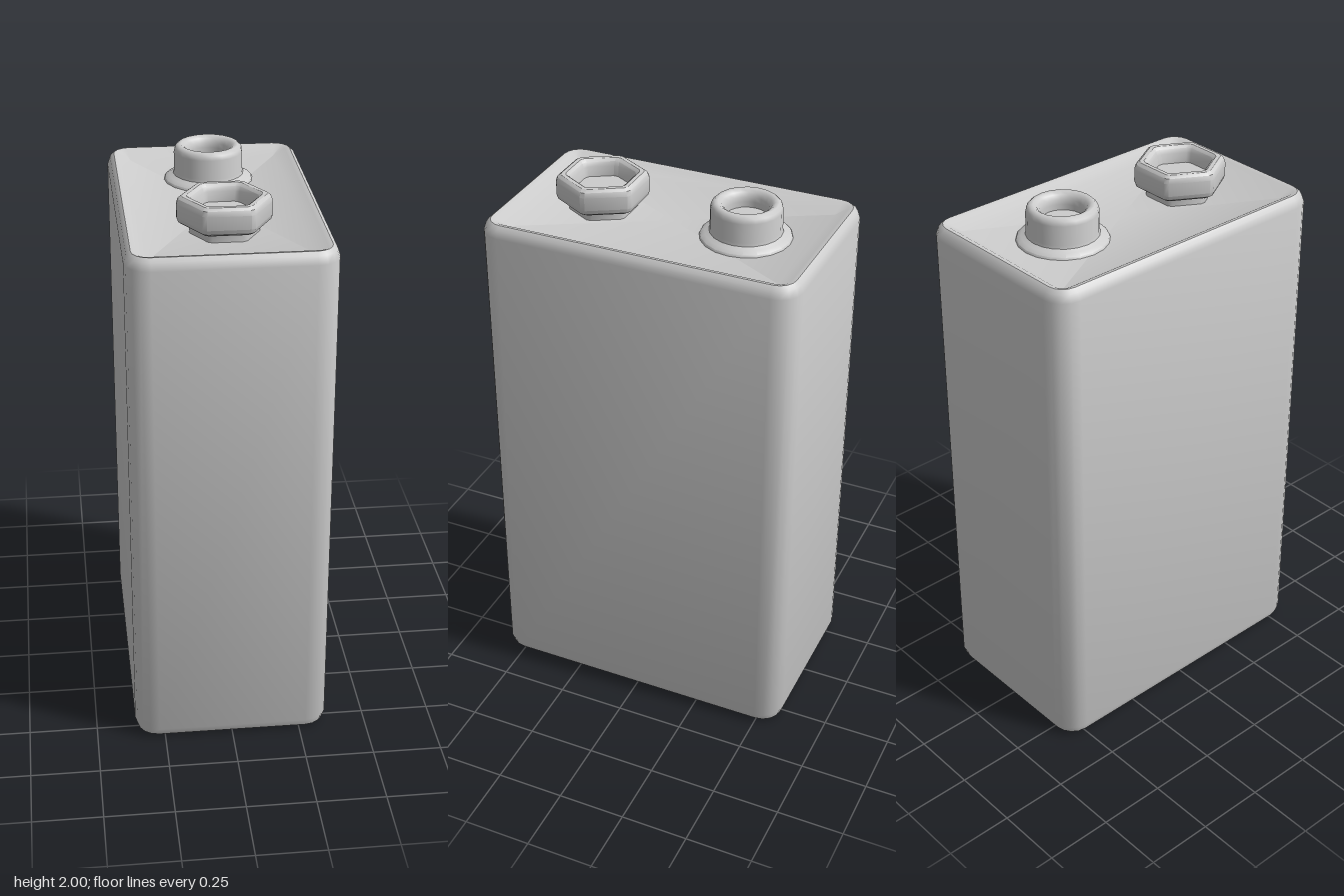
import * as THREE from 'three';
import { toCreasedNormals } from 'three/addons/utils/BufferGeometryUtils.js';

const material = new THREE.MeshStandardMaterial({ color: 0xcccccc });

// Skin a stack of equal-length [x, z] outlines at heights y, capping both ends
function loft(rings, crease) {
  const n = rings[0].pts.length;
  const pos = [];
  const index = [];
  for (const { pts, y } of rings) for (const [x, z] of pts) pos.push(x, y, z);
  for (let r = 0; r < rings.length - 1; r++) {
    for (let i = 0; i < n; i++) {
      const j = (i + 1) % n;
      const a = r * n + i, b = r * n + j, c = a + n, d = b + n;
      index.push(a, c, b, b, c, d);
    }
  }
  const last = rings.length - 1;
  const bottom = pos.length / 3;
  pos.push(0, rings[0].y, 0, 0, rings[last].y, 0);
  for (let i = 0; i < n; i++) {
    const j = (i + 1) % n;
    index.push(bottom, i, j, bottom + 1, last * n + j, last * n + i);
  }
  const geo = new THREE.BufferGeometry();
  geo.setAttribute('position', new THREE.Float32BufferAttribute(pos, 3));
  geo.setIndex(index);
  return toCreasedNormals(geo, crease);
}

// Rounded rectangle outline, running from +x towards +z
function roundedRect(hx, hz, r, steps = 4) {
  const pts = [];
  const signs = [[1, 1], [-1, 1], [-1, -1], [1, -1]];
  signs.forEach(([sx, sz], q) => {
    for (let i = 0; i <= steps; i++) {
      const t = (q + i / steps) * Math.PI / 2;
      pts.push([sx * (hx - r) + r * Math.cos(t), sz * (hz - r) + r * Math.sin(t)]);
    }
  });
  return pts;
}

// Hexagon outline with a vertex on +x and narrow chamfers at the corners
function hexagon(radius, chamfer = 0.01) {
  const corner = (k) => [radius * Math.cos(k * Math.PI / 3), radius * Math.sin(k * Math.PI / 3)];
  const pts = [];
  for (let k = 0; k < 6; k++) {
    const c = corner(k);
    for (const m of [corner(k - 1), corner(k + 1)]) {
      const t = chamfer / radius;
      pts.push([c[0] + (m[0] - c[0]) * t, c[1] + (m[1] - c[1]) * t]);
    }
  }
  return pts;
}

function addMesh(group, name, geometry, z = 0) {
  const mesh = new THREE.Mesh(geometry, material);
  mesh.name = name;
  mesh.position.z = z;
  group.add(mesh);
}

export function createModel() {
  const group = new THREE.Group();
  group.name = 'battery';

  // Casing: rounded box with a raised rim around a sunken top panel
  const casing = [
    // half width, half depth, corner radius, height
    [0.272, 0.498, 0.004, 0.004],
    [0.325, 0.553, 0.055, 0],
    [0.347, 0.575, 0.075, 0.012],
    [0.357, 0.585, 0.085, 0.04],
    [0.357, 0.585, 0.085, 1.86],
    [0.347, 0.575, 0.075, 1.888],
    [0.332, 0.56, 0.06, 1.9],
    [0.315, 0.542, 0.035, 1.896],
    [0.272, 0.498, 0.004, 1.87],
  ].map(([hx, hz, r, y]) => ({ pts: roundedRect(hx, hz, r), y }));
  addMesh(group, 'casing', loft(casing, 0.65));

  // Round terminal: flared foot, post and rolled lip around a hollow
  const roundProfile = [
    [0.162, 1.868], [0.158, 1.878], [0.142, 1.886], [0.128, 1.894], [0.125, 1.905],
    [0.125, 1.975], [0.121, 1.99], [0.11, 2], [0.098, 2], [0.086, 1.992],
    [0.077, 1.977], [0.075, 1.96], [0.075, 1.94], [0, 1.94],
  ].map(([r, y]) => new THREE.Vector2(r, y));
  addMesh(group, 'roundTerminal',
    toCreasedNormals(new THREE.LatheGeometry(roundProfile, 20), 0.75), -0.273);

  // Hexagonal terminal: short stem, bulging walls and a shallow socket
  const hex = [
    [0.125, 1.865], [0.125, 1.9], [0.148, 1.901], [0.162, 1.91], [0.168, 1.926],
    [0.168, 1.974], [0.162, 1.991], [0.149, 2], [0.133, 2], [0.12, 1.991],
    [0.113, 1.975], [0.107, 1.94],
  ].map(([r, y]) => ({ pts: hexagon(r), y }));
  addMesh(group, 'hexTerminal', loft(hex, 0.6), 0.268);

  return group;
}
